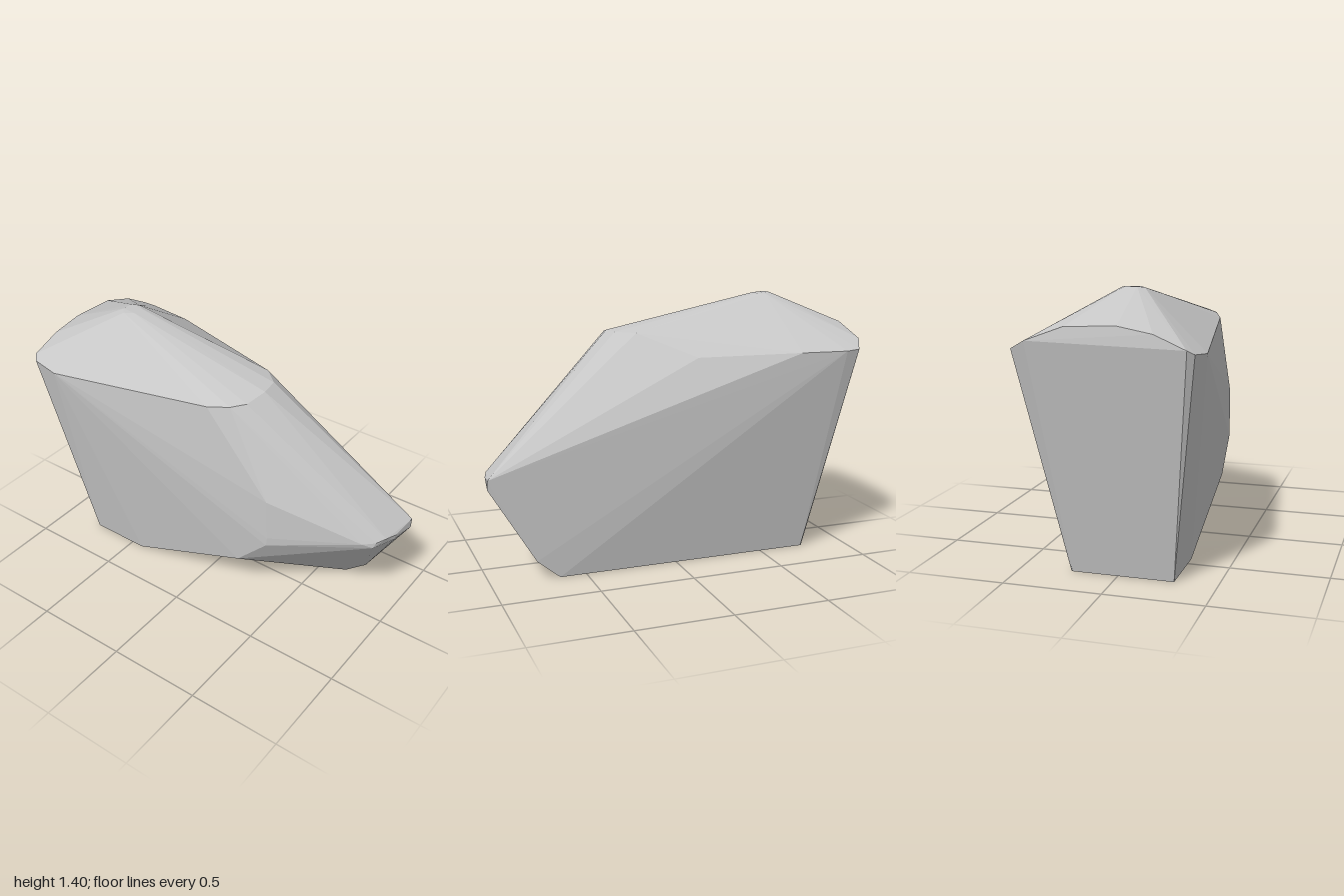
import * as THREE from 'three';
import { ConvexGeometry } from 'three/addons/geometries/ConvexGeometry.js';

// Corner points of the boulder, grouped by region: [x, y, z]
const base = [
  [0.245, 0, 0.64], [0.245, 0, -0.75], [0.235, 0, -0.76],
  [-0.285, 0, -0.76], [-0.285, 0, -0.43], [0.245, 0.1, 0.76],
];
const rightCheek = [
  [-0.285, 0.265, 0.26], [-0.285, 0.45, 0.44], [-0.285, 0.5, 0.445],
  [-0.285, 0.73, 0.435],
];
const nose = [
  [0.242, 0.55, 1], [0.235, 0.5, 1], [0.1, 0.53, 0.985], [0.1, 0.5, 0.98],
  [0.03, 0.54, 0.965], [-0.03, 0.5, 0.925], [-0.02, 0.53, 0.935],
  [-0.065, 0.525, 0.88],
];
const brow = [
  [0.1, 1.225, 0.17], [0.02, 1.225, 0.26], [-0.08, 1.225, 0.275],
  [-0.2, 1.205, 0.25], [-0.26, 1.195, 0.19], [-0.305, 1.18, 0.08],
  [0.3, 1.11, -0.1],
];
const peak = [
  [-0.1, 1.395, -0.62], [-0.07, 1.4, -0.645], [-0.01, 1.4, -0.645],
  [0.015, 1.395, -0.61], [-0.01, 1.395, -0.57], [-0.07, 1.395, -0.57],
];
const backRim = [
  [0.43, 1.125, -0.63], [0.455, 1.125, -0.88], [0.445, 1.13, -0.955],
  [0.36, 1.175, -1], [0.17, 1.245, -0.987], [-0.08, 1.255, -0.985],
  [-0.25, 1.225, -0.99], [-0.405, 1.16, -0.998], [-0.435, 1.14, -0.97],
  [-0.455, 1.125, -0.82],
];

export function createModel() {
  const group = new THREE.Group();
  group.name = 'boulder';

  const stone = new THREE.MeshStandardMaterial({ color: 0xc6c6c6 });
  stone.name = 'light grey stone';

  // Faceted stone: the hull around all corner points
  const points = [base, rightCheek, nose, brow, peak, backRim]
    .flat()
    .map((p) => new THREE.Vector3(...p));
  const rock = new THREE.Mesh(new ConvexGeometry(points), stone);
  rock.name = 'rock';
  group.add(rock);
  return group;
}
